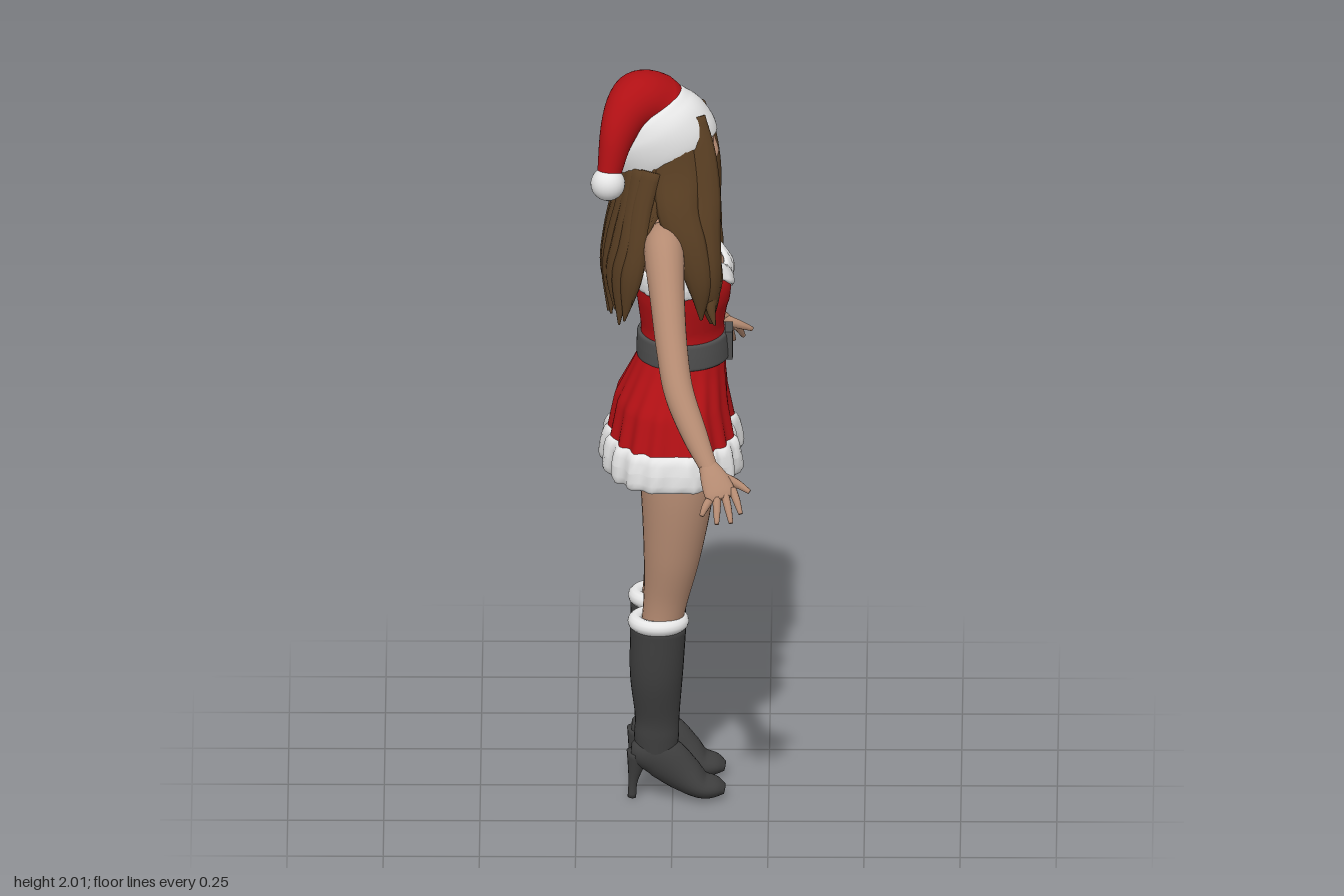
import * as THREE from 'three';

const mat = (name, color, side = THREE.FrontSide) => {
  const m = new THREE.MeshStandardMaterial({ color, side });
  m.name = name;
  return m;
};

// surface from a rule f(u, v) -> [x, y, z]; u may wrap around
function grid(nu, nv, f, closed = true) {
  const pos = [], idx = [], cols = closed ? nu : nu + 1;
  for (let j = 0; j <= nv; j++)
    for (let i = 0; i < cols; i++) pos.push(...f(i / nu, j / nv));
  for (let j = 0; j < nv; j++)
    for (let i = 0; i < nu; i++) {
      const k = (i + 1) % cols, a = j * cols + i, b = j * cols + k;
      idx.push(a, a + cols, b, b, a + cols, b + cols);
    }
  const g = new THREE.BufferGeometry();
  g.setAttribute('position', new THREE.Float32BufferAttribute(pos, 3));
  g.setIndex(idx);
  g.computeVertexNormals();
  return g;
}

// closed smooth limb through points [x, y, z, radius along ref, radius across]
function limb(pts, ref, nu = 20, nv = 28) {
  const path = new THREE.CatmullRomCurve3(pts.map(p => new THREE.Vector3(p[0], p[1], p[2])), false, 'catmullrom');
  const rad = new THREE.CatmullRomCurve3(pts.map(p => new THREE.Vector3(p[3], p[4], 0)), false, 'catmullrom');
  return grid(nu, nv + 2, (u, v) => {
    const k = Math.round(v * (nv + 2)) - 1, t = THREE.MathUtils.clamp(k / nv, 0, 1);
    const end = k < 0 || k > nv ? 0 : 1;
    const c = path.getPoint(t), r = rad.getPoint(t), T = path.getTangent(t);
    const N = new THREE.Vector3(...ref).addScaledVector(T, -T.dot(new THREE.Vector3(...ref))).normalize();
    const B = new THREE.Vector3().crossVectors(N, T), a = u * 2 * Math.PI;
    c.addScaledVector(N, end * r.x * Math.cos(a)).addScaledVector(B, end * r.y * Math.sin(a));
    return [c.x, c.y, c.z];
  });
}

// linear lookup in rows sorted by their first value
function at(rows, y) {
  let i = 0;
  while (i < rows.length - 2 && y > rows[i + 1][0]) i++;
  const t = THREE.MathUtils.clamp((y - rows[i][0]) / (rows[i + 1][0] - rows[i][0]), 0, 1);
  return rows[i].map((p, k) => p + (rows[i + 1][k] - p) * t);
}

const bump = (x, w) => Math.exp(-((x / w) ** 2));
const wrap = u => (u - 0.5) * 2 * Math.PI; // angle, 0 is the chest side (+x)

// rows: y, centre x, radius x, radius z
const BODY = [[0.95, 0, 0.1, 0.16], [1.1, 0.005, 0.115, 0.155], [1.2, 0.028, 0.105, 0.12], [1.3, 0.025, 0.1, 0.117],
  [1.38, 0.026, 0.112, 0.132], [1.45, 0.024, 0.108, 0.142], [1.52, 0.01, 0.092, 0.145], [1.58, -0.012, 0.07, 0.14],
  [1.62, -0.02, 0.056, 0.085], [1.65, -0.012, 0.046, 0.05], [1.72, 0.005, 0.043, 0.043]];
const SKIRT = [[0.9, 0.002, 0.18, 0.25], [1.0, 0, 0.166, 0.238], [1.1, 0, 0.148, 0.203], [1.18, 0.016, 0.125, 0.15], [1.24, 0.028, 0.108, 0.12]];
const HAIR = [[1.36, -0.1, 0.07, 0.16], [1.5, -0.075, 0.1, 0.165], [1.62, -0.055, 0.1, 0.15], [1.72, -0.03, 0.1, 0.118], [1.82, -0.015, 0.105, 0.095], [1.92, -0.01, 0.07, 0.06]];

function bodyPoint(a, y, off = 0) {
  const [, cx, rx, rz] = at(BODY, y), bust = 0.022 * bump(Math.abs(a) - 0.5, 0.32) * bump(y - 1.43, 0.06);
  return [cx + (rx + off + bust) * Math.cos(a), y, (rz + off + bust) * Math.sin(a)];
}
function skirtPoint(a, y, off = 0) {
  const [, cx, rx, rz] = at(SKIRT, y), low = THREE.MathUtils.clamp((1.24 - y) / 0.25, 0, 1);
  const c = Math.cos(a), pinch = 1 - 0.13 * low * bump(a, 0.22);
  const pleat = 0.006 * low * Math.cos(18 * a), flat = Math.sign(c) * Math.abs(c) ** (1 - 0.25 * low);
  return [cx + (rx * pinch + off + pleat) * flat, y, (rz + off + pleat) * Math.sin(a)];
}
const neckline = a => 1.462 + 0.05 * bump(Math.abs(a) - 0.8, 0.4) - 0.012 * bump(a, 0.2);

// padded band wrapped around a point rule
const band = (point, mid, half, thick, off, power = 0.6, rough = 0) => grid(96, 16, (u, v) => {
  const a = wrap(u), p = v * 2 * Math.PI, sq = x => Math.sign(x) * Math.abs(x) ** power;
  const q = point(a, mid(a) + half * sq(Math.sin(p)), 0);
  const d = off + thick * sq(Math.cos(p)) + rough * Math.sin(31 * a + 3 * p);
  return [q[0] + d * Math.cos(a), q[1] + rough * Math.sin(23 * a), q[2] + d * Math.sin(a)];
});

export function createModel() {
  const skin = mat('skin', 0xb58b72), red = mat('red cloth', 0xb01014, THREE.DoubleSide), fur = mat('white fur', 0xe6e6e6);
  const hair = mat('brown hair', 0x573d22, THREE.DoubleSide), leather = mat('boot leather', 0x3e3e3e), beltGrey = mat('belt grey', 0x4e4e4e);
  const model = new THREE.Group();
  model.name = 'figure';
  const add = (name, geo, m) => {
    const mesh = new THREE.Mesh(geo, m);
    mesh.name = name;
    model.add(mesh);
    return mesh;
  };

  // torso and head
  add('torso', grid(64, 60, (u, v) => bodyPoint(wrap(u), 0.95 + 0.77 * v)), skin);
  add('head', limb([[0.062, 1.683, 0, 0.022, 0.02], [0.05, 1.705, 0, 0.05, 0.042], [0.03, 1.75, 0, 0.076, 0.062],
    [0.015, 1.82, 0, 0.092, 0.074], [0, 1.89, 0, 0.085, 0.068], [-0.01, 1.94, 0, 0.03, 0.03]], [1, 0, 0], 32), skin);
  add('nose', limb([[0.1, 1.82, 0, 0.008, 0.006], [0.108, 1.785, 0, 0.011, 0.011], [0.107, 1.768, 0, 0.01, 0.014], [0.1, 1.762, 0, 0.004, 0.006]], [1, 0, 0], 12, 10), skin);
  add('lips', new THREE.SphereGeometry(1, 16, 10), skin).position.set(0.096, 1.735, 0);
  model.children.at(-1).scale.set(0.012, 0.01, 0.024);

  // dress
  add('bodice', grid(96, 24, (u, v) => {
    const a = wrap(u);
    return bodyPoint(a, 1.22 + (neckline(a) - 0.01 - 1.22) * v, 0.008);
  }), red);
  add('necklineFur', band(bodyPoint, a => neckline(a) - 0.02, 0.03, 0.01, 0.009, 0.7, 0.0012), fur);
  add('skirt', grid(180, 24, (u, v) => skirtPoint(wrap(u), 0.94 + 0.3 * v)), red);
  add('hemFur', band(skirtPoint, () => 0.963, 0.05, 0.022, -0.008, 0.7, 0.0015), fur);
  add('belt', band(bodyPoint, () => 1.246, 0.035, 0.012, 0.006, 0.3), beltGrey);
  add('buckle', new THREE.BoxGeometry(0.02, 0.076, 0.075), beltGrey).position.set(0.146, 1.246, 0);

  for (const s of [1, -1]) {
    const side = s > 0 ? 'left' : 'right';
    const part = (name, pts, ref, m, nu, nv) =>
      add(side + name, limb(pts.map(([x, y, z, a, b]) => [x, y, z * s, a, b]), [ref[0], ref[1], ref[2] * s], nu, nv), m);

    // leg and boot
    part('Leg', [[-0.035, 0.45, 0.09, 0.05, 0.052], [-0.018, 0.56, 0.09, 0.058, 0.06], [0, 0.7, 0.098, 0.076, 0.08],
      [0.012, 0.88, 0.102, 0.096, 0.094], [0.005, 1.04, 0.095, 0.105, 0.09]], [1, 0, 0], skin, 28);
    part('BootShaft', [[-0.042, 0.11, 0.082, 0.05, 0.04], [-0.042, 0.17, 0.08, 0.058, 0.045], [-0.04, 0.23, 0.08, 0.058, 0.048],
      [-0.042, 0.35, 0.088, 0.069, 0.066], [-0.037, 0.49, 0.09, 0.073, 0.07]], [1, 0, 0], leather, 28);
    part('BootFoot', [[-0.108, 0.13, 0.082, 0.02, 0.02], [-0.085, 0.128, 0.082, 0.04, 0.036], [-0.03, 0.115, 0.082, 0.058, 0.044], [0.025, 0.07, 0.08, 0.05, 0.05],
      [0.07, 0.036, 0.08, 0.034, 0.056], [0.11, 0.028, 0.08, 0.026, 0.045], [0.135, 0.022, 0.08, 0.012, 0.022]], [0, 1, 0], leather, 24);
    part('BootHeel', [[-0.106, 0, 0.082, 0.011, 0.012], [-0.102, 0.05, 0.082, 0.013, 0.014], [-0.088, 0.125, 0.082, 0.032, 0.032]], [1, 0, 0], leather, 16, 10);
    const cuff = add(side + 'BootCuff', new THREE.TorusGeometry(0.06, 0.02, 12, 40), fur);
    cuff.rotation.x = Math.PI / 2;
    cuff.position.set(-0.037, 0.497, 0.09 * s);

    // arm and hand
    const W = [0.8, 0.3, -0.35];
    part('Arm', [[-0.02, 1.595, 0.1, 0.04, 0.035], [-0.022, 1.565, 0.165, 0.052, 0.056], [-0.012, 1.46, 0.265, 0.045, 0.05],
      [0, 1.36, 0.35, 0.041, 0.042], [0.018, 1.27, 0.42, 0.039, 0.038], [0.058, 1.18, 0.485, 0.034, 0.033],
      [0.095, 1.11, 0.54, 0.024, 0.02], [0.105, 1.09, 0.553, 0.025, 0.018]], W, skin, 20, 36);
    part('Palm', [[0.092, 1.115, 0.537, 0.023, 0.018], [0.11, 1.085, 0.56, 0.036, 0.019], [0.125, 1.055, 0.583, 0.041, 0.016], [0.132, 1.04, 0.594, 0.034, 0.011]], W, skin, 20, 14);
    const tips = [[0.078, 1.005, 0.626], [0.118, 0.99, 0.645], [0.155, 0.992, 0.642], [0.18, 1.01, 0.622]];
    tips.forEach(([x, y, z], i) => {
      const k = i - 1.5, b = [0.128 + 0.02 * k, 1.05 + 0.007 * k, 0.588 - 0.009 * k];
      part('Finger' + (i + 1), [[...b, 0.011, 0.011], [(b[0] + x) / 2, (b[1] + y) / 2 + 0.003, (b[2] + z) / 2, 0.01, 0.01], [x, y, z, 0.006, 0.006]], W, skin, 10, 8);
    });
    part('Thumb', [[0.118, 1.09, 0.55, 0.015, 0.014], [0.165, 1.07, 0.553, 0.012, 0.012], [0.203, 1.05, 0.568, 0.006, 0.006]], [0, 1, 0], skin, 10, 8);

    // locks falling over the chest and shoulder
    part('FrontLock', [[0.05, 1.89, 0.05, 0.035, 0.018], [0.07, 1.8, 0.078, 0.042, 0.02], [0.075, 1.7, 0.102, 0.05, 0.026],
      [0.075, 1.6, 0.128, 0.05, 0.032], [0.09, 1.5, 0.145, 0.038, 0.034], [0.094, 1.42, 0.143, 0.028, 0.026], [0.1, 1.345, 0.128, 0.004, 0.004]], [1, 0, 0], hair, 12);
    part('SideLock', [[0, 1.86, 0.075, 0.05, 0.02], [0.01, 1.75, 0.102, 0.06, 0.022], [0.015, 1.66, 0.137, 0.055, 0.026],
      [0.045, 1.57, 0.165, 0.045, 0.022], [0.07, 1.47, 0.17, 0.032, 0.022], [0.075, 1.37, 0.165, 0.004, 0.004]], [1, 0, 0], hair, 12);
    part('CurlLock', [[0.1, 1.56, 0.125, 0.02, 0.02], [0.115, 1.47, 0.13, 0.016, 0.018], [0.1, 1.41, 0.16, 0.014, 0.014], [0.11, 1.36, 0.18, 0.003, 0.003]], [1, 0, 0], hair, 10, 14);
  }

  // back hair, with a wavy lower edge
  add('backHair', grid(90, 30, (u, v) => {
    const low = 1.41 + 0.025 * Math.sin(u * 70) + 0.015 * Math.sin(u * 31), y = low + (1.92 - low) * v;
    const open = THREE.MathUtils.lerp(1.75, 1.05, THREE.MathUtils.smoothstep(y, 1.55, 1.75));
    const a = open + (2 * Math.PI - 2 * open) * u, [, cx, rx, rz] = at(HAIR, y);
    const w = 1 + 0.04 * Math.sin(a * 22 + y * 14);
    return [cx + rx * w * Math.cos(a), y, rz * w * Math.sin(a)];
  }, false), hair);
  for (let i = 0; i < 11; i++) {
    const a = Math.PI + (i - 5) * 0.25, tip = 1.36 + 0.02 * Math.sin(i * 4.1);
    const pts = [1.76, 1.66, 1.56, 1.47, tip].map((y, j) => {
      const [, cx, rx, rz] = at(HAIR, y), b = a + 0.05 * Math.sin(j * 2 + i);
      return [cx + rx * Math.cos(b), y, rz * Math.sin(b), j === 4 ? 0.003 : 0.016, j === 4 ? 0.003 : 0.028];
    });
    add('backLock' + (i + 1), limb(pts, [Math.cos(a), 0, Math.sin(a)], 10, 18), hair);
  }

  // hat: tilted fur band, drooping cap and pompom
  add('hatBand', limb([[-0.012, 1.772, 0, 0.135, 0.1], [-0.02, 1.785, 0, 0.145, 0.112], [-0.032, 1.82, 0, 0.148, 0.117],
    [-0.045, 1.855, 0, 0.138, 0.115], [-0.06, 1.885, 0, 0.118, 0.103], [-0.068, 1.898, 0, 0.1, 0.09]], [0.79, 0.62, 0], 40), fur);
  add('hatCap', limb([[-0.055, 1.875, 0, 0.112, 0.098], [-0.072, 1.91, 0.008, 0.1, 0.09], [-0.092, 1.925, 0.03, 0.078, 0.078],
    [-0.122, 1.905, 0.068, 0.058, 0.062], [-0.147, 1.85, 0.105, 0.043, 0.05], [-0.166, 1.76, 0.135, 0.03, 0.034]], [0.79, 0.62, 0], 32, 40), red);
  add('pompom', new THREE.SphereGeometry(0.045, 24, 16), fur).position.set(-0.168, 1.742, 0.142);

  return model;
}
